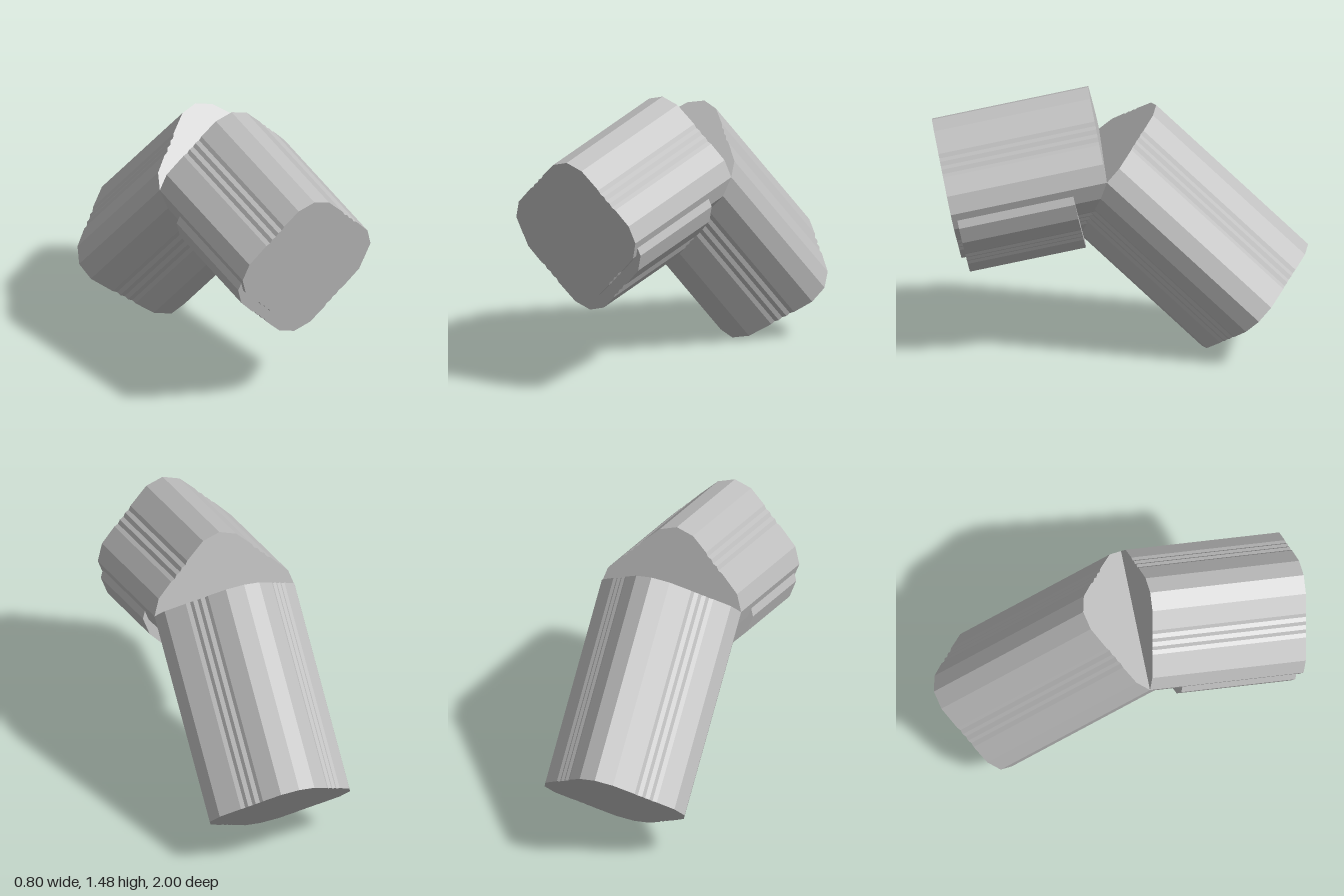
import * as THREE from 'three';

const R = 0.4;

// Rounded-square outline standing on a corner, with fine grooves along each flat side
function outline() {
  const quarter = [[0, R], [0.095, 0.369]];
  const from = new THREE.Vector2(0.095, 0.369), to = new THREE.Vector2(0.369, 0.095);
  for (let i = 0; i < 7; i++) {
    const p = from.clone().lerp(to, 0.35 + i * 0.06);
    const d = i % 2 ? -0.003 : 0.002;
    quarter.push([p.x + d, p.y + d]);
  }
  quarter.push([0.369, 0.095]);
  const points = [];
  for (let k = 0; k < 4; k++) {
    const a = -k * Math.PI / 2;
    for (const [x, y] of quarter) points.push(new THREE.Vector2(x, y).rotateAround(new THREE.Vector2(), a));
  }
  return new THREE.Shape(points);
}

export function createModel() {
  const model = new THREE.Group();
  model.name = 'bentArm';
  const grey = new THREE.MeshStandardMaterial({ color: 0xc0c0c0 });
  grey.name = 'grey';

  const bar = (name, length) => {
    const geometry = new THREE.ExtrudeGeometry(outline(), { depth: length, bevelEnabled: false });
    const mesh = new THREE.Mesh(geometry, grey);
    mesh.name = name;
    return mesh;
  };

  // Both arms start at the same elbow point
  const elbow = new THREE.Vector3(0, 1.094, 0.0925);

  const frontArm = new THREE.Group();
  frontArm.name = 'frontArm';
  frontArm.position.copy(elbow);
  frontArm.rotation.x = 0.2;
  frontArm.add(bar('frontBar', 0.847));

  // Shorter bar overlapping the underside of the front arm
  const underBar = bar('underBar', 0.629);
  underBar.position.set(0, -0.086, 0.19);
  frontArm.add(underBar);

  const rearBar = bar('rearBar', 1.142);
  rearBar.position.copy(elbow);
  rearBar.rotation.x = Math.PI * 0.75;

  model.add(frontArm, rearBar);
  return model;
}
